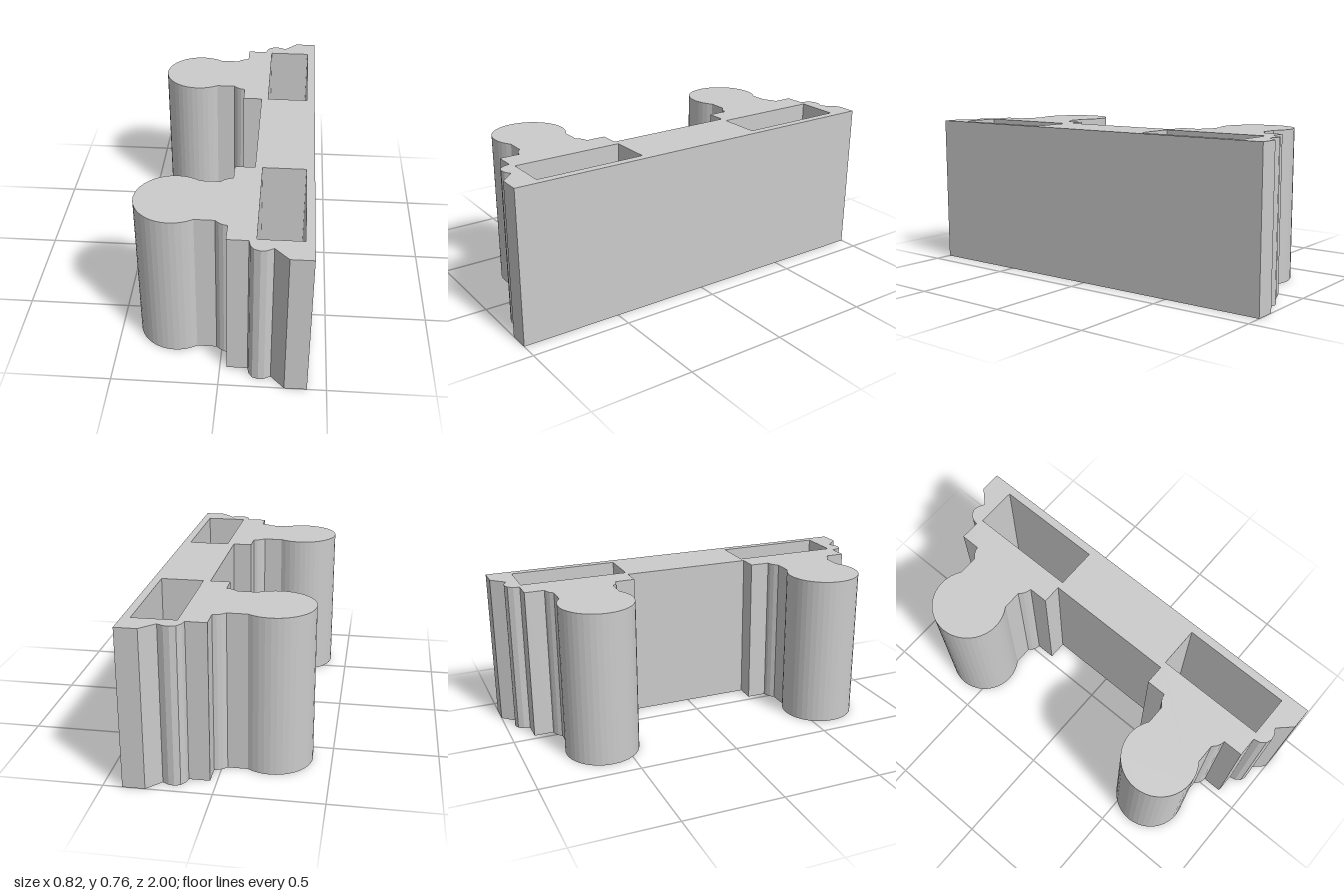
import * as THREE from 'three';

const HEIGHT = 0.765;
const FLOOR = 0.05; // thickness left under each pocket
const POST = { x: -0.227, z: 0.608, r: 0.183 };
const POCKET = { x0: 0.163, x1: 0.37, z0: 0.33, z1: 0.875 };

// Half of the plan outline as [x, z], from the back corner to the middle web
function halfOutline() {
  const pts = [
    [0.41, 1], [0.305, 1], [0.24, 0.932], // chamfered end
    [0.21, 0.949], [0.183, 0.953], [0.155, 0.943], [0.137, 0.918], [0.13, 0.887], // rounded bead
  ];
  // Stepped neck, mirrored about the post's centre line
  const neck = [
    [0.032, 0.887], [0.032, 0.789], [0.012, 0.785], [-0.008, 0.774], [-0.026, 0.757], [-0.12, 0.757],
  ];
  pts.push(...neck);
  // Round post
  const a0 = Math.atan2(0.757 - POST.z, -0.12 - POST.x);
  const n = 28;
  for (let i = 1; i < n; i++) {
    const a = a0 + (i / n) * 2 * (Math.PI - a0);
    pts.push([POST.x + POST.r * Math.cos(a), POST.z + POST.r * Math.sin(a)]);
  }
  pts.push(...neck.map(([x, z]) => [x, 2 * POST.z - z]).reverse());
  pts.push([0.128, 2 * POST.z - 0.887]);
  return pts;
}

export function createModel() {
  const group = new THREE.Group();
  group.name = 'bracket';
  const material = new THREE.MeshStandardMaterial({ color: 0xcccccc, flatShading: true });

  // Full outline: one half plus its mirror image
  const half = halfOutline();
  const outline = [...half, ...half.map(([x, z]) => [x, -z]).reverse()];
  const shape = new THREE.Shape(outline.map(([x, z]) => new THREE.Vector2(x, z)));

  const { x0, x1, z0, z1 } = POCKET;
  for (const s of [1, -1]) {
    shape.holes.push(new THREE.Path(
      [[x0, z0], [x1, z0], [x1, z1], [x0, z1]].map(([x, z]) => new THREE.Vector2(x, s * z))
    ));
  }

  // Extruded body, turned upright
  const geometry = new THREE.ExtrudeGeometry(shape, { depth: HEIGHT, bevelEnabled: false });
  geometry.rotateX(-Math.PI / 2);
  const body = new THREE.Mesh(geometry, material);
  body.name = 'body';
  group.add(body);

  // Floors closing the pockets at the bottom
  for (const s of [1, -1]) {
    const floor = new THREE.Mesh(new THREE.BoxGeometry(x1 - x0, FLOOR, z1 - z0), material);
    floor.name = s > 0 ? 'frontPocketFloor' : 'backPocketFloor';
    floor.position.set((x0 + x1) / 2, FLOOR / 2, s * (z0 + z1) / 2);
    group.add(floor);
  }
  return group;
}
